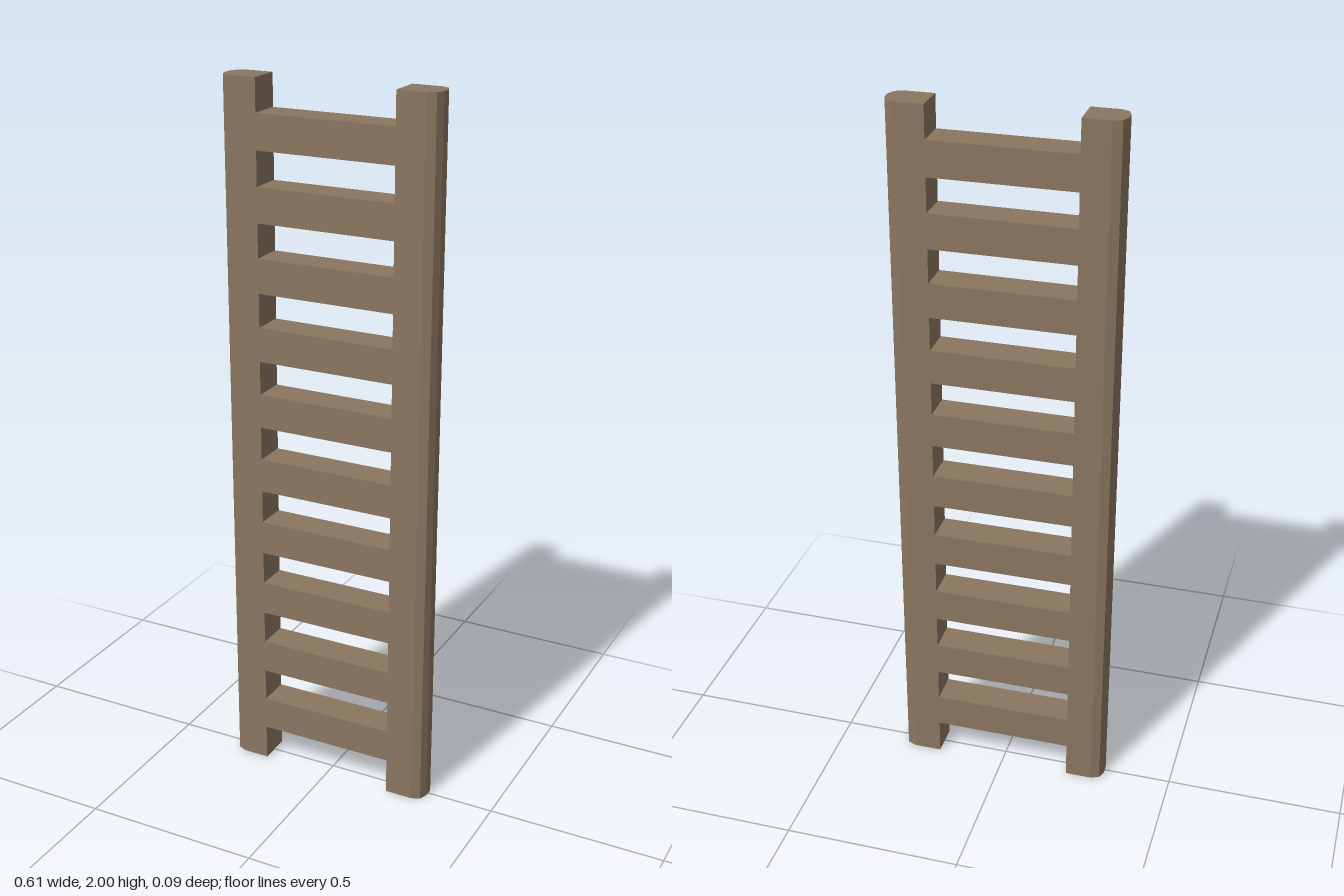
import * as THREE from 'three';

export function createModel() {
  const model = new THREE.Group();
  model.name = 'ladder';
  const wood = new THREE.MeshStandardMaterial({ color: 0x8b7660 });
  wood.name = 'brown wood';

  const height = 2, halfDepth = 0.046;
  const innerLeft = 0.194, innerRight = -0.198;

  // Upright rail: square on the inside, faceted round on the outside
  function addRail(name, side, inner) {
    const half = [[0.273, halfDepth], [0.297, 0.036], [0.306, 0.013]];
    const outer = [...half, ...half.map(([x, z]) => [x, -z]).reverse()]
      .map(([x, z]) => new THREE.Vector2(side * x, z));
    const shape = new THREE.Shape([
      new THREE.Vector2(inner, halfDepth), ...outer, new THREE.Vector2(inner, -halfDepth),
    ]);
    const geometry = new THREE.ExtrudeGeometry(shape, { depth: height, bevelEnabled: false });
    geometry.rotateX(-Math.PI / 2);
    const rail = new THREE.Mesh(geometry, wood);
    rail.name = name;
    model.add(rail);
  }
  addRail('leftRail', 1, innerLeft);
  addRail('rightRail', -1, innerRight);

  // Evenly spaced rungs, flush with the rails front and back
  const rungGeometry = new THREE.BoxGeometry(innerLeft - innerRight, 0.096, halfDepth * 2);
  for (let i = 0; i < 10; i++) {
    const rung = new THREE.Mesh(rungGeometry, wood);
    rung.name = `rung${i + 1}`;
    rung.position.set((innerLeft + innerRight) / 2, 0.151 + i * 0.1902, 0);
    model.add(rung);
  }
  return model;
}
